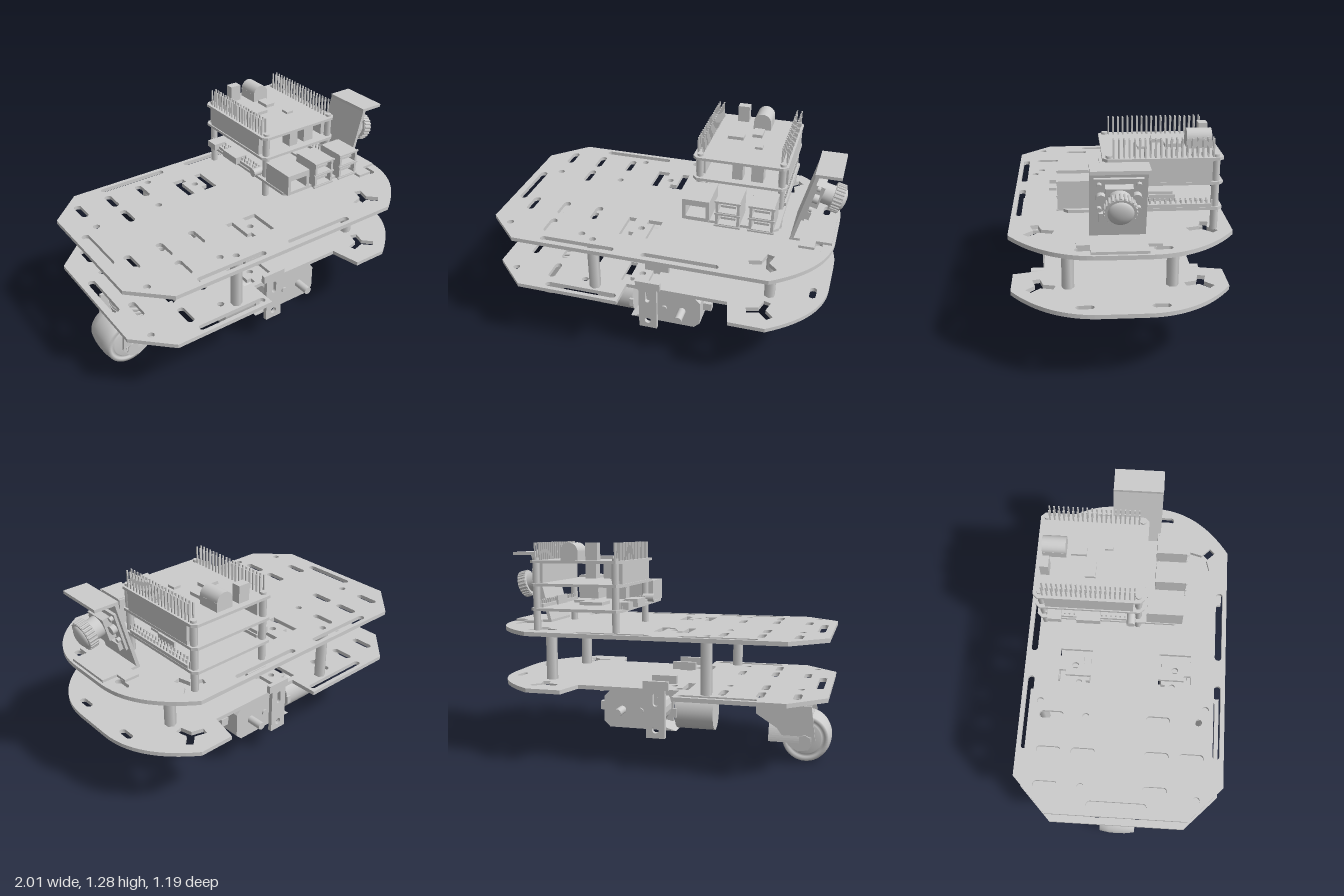
import * as THREE from 'three';

const grey = new THREE.MeshStandardMaterial({ color: 0xcccccc, side: THREE.DoubleSide });

function add(parent, name, geometry, x = 0, y = 0, z = 0) {
  const m = new THREE.Mesh(geometry, grey);
  m.name = name;
  m.position.set(x, y, z);
  parent.add(m);
  return m;
}

// box given by its low and high limits on each axis
function box(parent, name, x0, x1, y0, y1, z0, z1) {
  return add(parent, name, new THREE.BoxGeometry(x1 - x0, y1 - y0, z1 - z0),
    (x0 + x1) / 2, (y0 + y1) / 2, (z0 + z1) / 2);
}

// cylinder along the chosen axis
function rod(parent, name, axis, r, length, x, y, z, sides = 24, r2 = r) {
  const g = new THREE.CylinderGeometry(r, r2, length, sides);
  if (axis === 'x') g.rotateZ(-Math.PI / 2);
  if (axis === 'z') g.rotateX(Math.PI / 2);
  return add(parent, name, g, x, y, z);
}

function poly(points) {
  return points.map(([x, y]) => new THREE.Vector2(x, y));
}

// rounded slot outline between two limits on each axis
function slot(x0, x1, z0, z1) {
  const r = Math.min(x1 - x0, z1 - z0) / 2, pts = [];
  const corners = [[x1 - r, z1 - r], [x0 + r, z1 - r], [x0 + r, z0 + r], [x1 - r, z0 + r]];
  corners.forEach(([cx, cz], q) => {
    for (let i = 0; i < 5; i++) {
      const a = (q + (i + 0.5) / 5) * Math.PI / 2;
      pts.push([cx + r * Math.cos(a), cz + r * Math.sin(a)]);
    }
  });
  return new THREE.Path(poly(pts));
}
const dot = (x, z, r) => slot(x - r, x + r, z - r, z + r);

// three-armed cut-out
function star(cx, cz, s) {
  const pts = [], w = 0.022, l = 0.085;
  for (let k = 0; k < 3; k++) {
    const a = (0.25 + k * 2 / 3) * Math.PI, c = Math.cos(a), n = Math.sin(a), b = a + Math.PI / 3;
    pts.push([l * c + w * n, l * n - w * c], [l * c - w * n, l * n + w * c],
      [w / 0.866 * Math.cos(b), w / 0.866 * Math.sin(b)]);
  }
  return new THREE.Path(poly(pts.map(([x, z]) => [cx + x, s * (cz + z)])));
}

// chassis deck; the lower one is cut in at the sides for the wheels
function deck(parent, name, top, notched) {
  const s = new THREE.Shape();
  s.moveTo(-1, -0.4);
  s.lineTo(-0.8, -0.595);
  if (notched) [[-0.18, -0.595], [-0.18, -0.42], [0.43, -0.42], [0.47, -0.595]].forEach(p => s.lineTo(...p));
  s.lineTo(0.68, -0.595);
  s.quadraticCurveTo(0.975, -0.4, 0.975, -0.12);
  s.lineTo(0.975, 0.12);
  s.quadraticCurveTo(0.975, 0.4, 0.68, 0.595);
  if (notched) [[0.47, 0.595], [0.43, 0.42], [-0.18, 0.42], [-0.18, 0.595]].forEach(p => s.lineTo(...p));
  s.lineTo(-0.8, 0.595);
  s.lineTo(-1, 0.4);
  s.closePath();
  const h = s.holes;
  h.push(slot(-0.96, -0.915, -0.17, 0.17), dot(-0.84, -0.21, 0.02), dot(-0.43, -0.21, 0.02),
    dot(-0.88, 0.445, 0.02), dot(-0.43, 0.445, 0.02));
  for (const x of [-0.84, -0.43]) h.push(slot(x - 0.022, x + 0.022, -0.48, -0.34), slot(x - 0.022, x + 0.022, 0.14, 0.28));
  for (const k of [-1, 1]) {
    const span = (x0, x1, z, d) => h.push(slot(x0, x1, k * z - d, k * z + d));
    span(-0.64, -0.2, 0.55, 0.02);
    if (!notched) span(-0.04, 0.4, 0.55, 0.02);
    span(-0.662, -0.618, 0.41, 0.07);
    span(-0.662, -0.618, 0.21, 0.07);
    span(0.87, 0.91, 0.2, 0.05);
    h.push(dot(-0.35, k * 0.483, 0.02), dot(-0.12, k * 0.295, 0.02), star(0.63, 0.44, k));
    h.push(new THREE.Path(poly([[-0.225, 0.39], [-0.15, 0.39], [-0.15, 0.35], [-0.18, 0.35], [-0.18, 0.2],
      [-0.225, 0.2]].map(([x, z]) => [x, k * z]))));
    h.push(new THREE.Path(poly([[-0.02, 0.39], [-0.065, 0.39], [-0.065, 0.245], [-0.105, 0.245], [-0.105, 0.2],
      [-0.02, 0.2]].map(([x, z]) => [x, k * z]))));
  }
  const g = new THREE.ExtrudeGeometry(s, { depth: 0.024, bevelEnabled: false, curveSegments: 16 });
  g.rotateX(Math.PI / 2);
  add(parent, name, g, 0, top, 0);
  // thin stiffening ribs underneath
  for (const z of [-0.04, 0.04]) box(parent, 'deckRib', -0.9, 0.88, top - 0.038, top - 0.024, z - 0.008, z + 0.008);
  for (const x of [-0.5, 0.3]) box(parent, 'deckCrossRib', x - 0.01, x + 0.01, top - 0.038, top - 0.024, -0.38, 0.38);
}

// gear motor with its two hanging brackets, k = side
function motor(parent, k) {
  const g = new THREE.Group();
  g.name = k > 0 ? 'leftMotor' : 'rightMotor';
  const side = new THREE.Shape(slot(-0.09, 0.27, 0.22, 0.435).getPoints());
  side.setFromPoints(poly([[-0.16, 0.22], [0.235, 0.22], [0.27, 0.255], [0.27, 0.4], [0.235, 0.435], [-0.16, 0.435]]));
  const body = new THREE.ExtrudeGeometry(side, { depth: 0.19, bevelEnabled: false });
  add(g, 'gearbox', body, 0, 0, 0.225);
  const can = rod(g, 'motorCan', 'x', 0.105, 0.22, -0.26, 0.325, 0.32, 32);
  can.scale.z = 0.85;
  box(g, 'motorCap', -0.37, -0.3, 0.25, 0.4, 0.26, 0.38);
  box(g, 'motorTerminal', -0.165, -0.14, 0.3, 0.35, 0.41, 0.425);
  box(g, 'endLug', 0.27, 0.32, 0.3, 0.35, 0.3, 0.34);
  rod(g, 'axle', 'z', 0.023, 0.37, 0.16, 0.325, 0.325);
  rod(g, 'screw', 'z', 0.018, 0.21, 0.05, 0.325, 0.32, 12);
  const t = new THREE.Shape(poly([[-0.1, 0.175], [0.01, 0.175], [0.01, 0.455], [0.03, 0.455], [0.03, 0.505],
    [-0.12, 0.505], [-0.12, 0.455], [-0.1, 0.455]]));
  t.holes.push(slot(-0.06, -0.03, 0.36, 0.44), dot(-0.045, 0.225, 0.02));
  for (const z of [0.225, 0.415])
    add(g, 'motorBracket', new THREE.ExtrudeGeometry(t, { depth: 0.025, bevelEnabled: false }), 0, 0, z);
  if (k < 0) g.scale.z = -1;
  parent.add(g);
}

function caster(parent) {
  const g = new THREE.Group();
  g.name = 'caster';
  // swivel bearing and tapered head
  rod(g, 'swivelPlate', 'y', 0.155, 0.03, -0.735, 0.42, 0, 40);
  rod(g, 'swivelNeck', 'y', 0.14, 0.06, -0.735, 0.38, 0, 40);
  for (const y of [0.385, 0.36]) add(g, 'bearingRing', new THREE.TorusGeometry(0.145, 0.014, 8, 40).rotateX(Math.PI / 2), -0.735, y, 0);
  rod(g, 'forkHead', 'y', 0.16, 0.075, -0.735, 0.313, 0, 40, 0.145);
  // arched fork with two cheeks
  const arch = new THREE.Shape();
  arch.absarc(0, 0, 0.165, 0, Math.PI);
  arch.absarc(0, 0, 0.15, Math.PI, 0, true);
  add(g, 'forkArch', new THREE.ExtrudeGeometry(arch, { depth: 0.25, bevelEnabled: false, curveSegments: 20 }).rotateY(Math.PI / 2), -0.9, 0.13, 0);
  const cheek = new THREE.Shape(poly([[-0.895, 0.35], [-0.575, 0.35], [-0.575, 0.29], [-0.7, 0.21], [-0.77, 0.11],
    [-0.82, 0.08], [-0.88, 0.09], [-0.92, 0.15]]));
  for (const z of [-0.16, 0.143]) add(g, 'forkCheek', new THREE.ExtrudeGeometry(cheek, { depth: 0.017, bevelEnabled: false }), 0, 0, z);
  // crowned wheel
  const profile = poly([[0.03, -0.11], [0.09, -0.11], [0.095, -0.1], [0.11, -0.1], [0.115, -0.11], [0.135, -0.108], [0.144, -0.05],
    [0.146, 0], [0.144, 0.05], [0.135, 0.108], [0.115, 0.11], [0.11, 0.1], [0.095, 0.1], [0.09, 0.11], [0.03, 0.11]]);
  add(g, 'casterWheel', new THREE.LatheGeometry(profile, 48).rotateX(Math.PI / 2), -0.86, 0.146, 0);
  rod(g, 'casterAxle', 'z', 0.036, 0.34, -0.86, 0.146, 0, 6);
  parent.add(g);
}

function cameraMount(parent) {
  box(parent, 'mountFoot', 0.72, 0.96, 0.78, 0.797, -0.125, 0.17);
  box(parent, 'mountEars', 0.78, 0.87, 0.78, 0.797, -0.2, 0.24);
  const g = new THREE.Group();
  g.name = 'cameraMount';
  g.position.set(0.72, 0.785, 0.022);
  g.rotation.z = -0.256;
  box(g, 'mountPlate', 0, 0.02, 0, 0.435, -0.147, 0.147);
  box(g, 'cameraBoard', 0.02, 0.035, 0.13, 0.37, -0.125, 0.125);
  box(g, 'cameraConnector', 0.035, 0.06, 0.13, 0.18, -0.1, 0.1);
  for (const z of [-0.1, 0.1]) for (const y of [0.2, 0.34]) rod(g, 'screw', 'x', 0.014, 0.03, 0.04, y, z, 12);
  box(g, 'lensBase', 0.035, 0.08, 0.2, 0.34, -0.07, 0.07);
  for (const z of [-0.09, 0.09]) rod(g, 'lensEar', 'x', 0.026, 0.03, 0.05, 0.27, z, 16);
  rod(g, 'lensBarrel', 'x', 0.06, 0.08, 0.11, 0.275, 0, 32);
  rod(g, 'focusRing', 'x', 0.078, 0.055, 0.165, 0.275, 0, 24);
  for (let i = 0; i < 24; i++) {
    const a = i * Math.PI / 12;
    rod(g, 'focusGrip', 'x', 0.007, 0.05, 0.165, 0.275 + 0.078 * Math.sin(a), 0.078 * Math.cos(a), 5);
  }
  add(g, 'lensGlass', new THREE.SphereGeometry(0.066, 24, 16).scale(0.4, 1, 1), 0.19, 0.275, 0);
  parent.add(g);
  box(parent, 'mountHood', 0.826, 0.97, 1.196, 1.214, -0.125, 0.17);
}

function electronics(parent) {
  const g = new THREE.Group();
  g.name = 'electronics';
  // stacked boards with rounded corners
  [['mainBoard', 0.895, 0.3], ['middleBoard', 1.035, 0.095], ['topBoard', 1.165, 0.095]].forEach(([name, y, z1]) => {
    const s = new THREE.Shape(poly([[0.15, -0.535], [0.645, -0.535], [0.67, -0.51], [0.67, z1 - 0.025],
      [0.645, z1], [0.15, z1], [0.125, z1 - 0.025], [0.125, -0.51]]));
    add(g, name, new THREE.ExtrudeGeometry(s, { depth: 0.016, bevelEnabled: false }).rotateX(Math.PI / 2), 0, y + 0.016, 0);
  });
  for (const x of [0.165, 0.64]) for (const z of [-0.497, 0.06]) {
    rod(g, 'boardPost', 'y', 0.021, 0.39, x, 0.975, z, 6);
    rod(g, 'boardScrew', 'y', 0.018, 0.015, x, 1.187, z, 12);
  }
  // pin headers
  for (const x of [0.16, 0.64]) {
    box(g, 'header', x - 0.028, x + 0.028, 1.05, 1.165, -0.475, 0.03);
    for (let i = 0; i < 20; i++) for (const dx of [-0.014, 0.014]) {
      const z = -0.48 + i * 0.0272;
      box(g, 'pin', x + dx - 0.004, x + dx + 0.004, 1.165, 1.28, z - 0.004, z + 0.004);
      box(g, 'lowerPin', x + dx - 0.004, x + dx + 0.004, 0.91, 0.95, z - 0.004, z + 0.004);
    }
    box(g, 'lowerHeader', x - 0.028, x + 0.028, 0.91, 0.93, -0.475, 0.03);
  }
  // stacked data sockets, open at the front
  for (const x of [0.39, 0.578]) {
    const s = new THREE.Shape(poly([[-0.067, 0.9], [0.067, 0.9], [0.067, 1.06], [-0.067, 1.06]]));
    for (const y of [0.915, 0.99]) s.holes.push(new THREE.Path(poly([[-0.052, y], [0.052, y], [0.052, y + 0.055], [-0.052, y + 0.055]])));
    add(g, 'dataSocket', new THREE.ExtrudeGeometry(s, { depth: 0.17, bevelEnabled: false }), x, 0, 0.16);
    box(g, 'socketBack', x - 0.066, x + 0.066, 0.905, 1.055, 0.15, 0.17);
    for (const y of [0.945, 1.02]) box(g, 'socketTongue', x - 0.042, x + 0.042, y - 0.007, y + 0.007, 0.17, 0.31);
    for (const y of [0.905, 0.98, 1.055]) box(g, 'socketFlange', x - 0.073, x + 0.073, y - 0.005, y + 0.005, 0.325, 0.335);
  }
  const port = new THREE.Shape(poly([[0.13, 0.91], [0.285, 0.91], [0.285, 1.035], [0.13, 1.035]]));
  port.holes.push(new THREE.Path(poly([[0.15, 0.93], [0.265, 0.93], [0.265, 1.0], [0.15, 1.0]])));
  add(g, 'networkSocket', new THREE.ExtrudeGeometry(port, { depth: 0.21, bevelEnabled: false }), 0, 0, 0.11);
  box(g, 'networkSocketBack', 0.14, 0.275, 0.92, 1.02, 0.11, 0.17);
  // side connectors, chips and tall parts
  box(g, 'powerSocket', 0.1, 0.18, 0.91, 0.95, -0.47, -0.39);
  box(g, 'videoSocket', 0.1, 0.18, 0.91, 0.955, -0.3, -0.16);
  rod(g, 'audioSocket', 'x', 0.025, 0.07, 0.13, 0.936, 0.02, 16);
  box(g, 'processor', 0.32, 0.46, 0.911, 0.93, -0.3, -0.16);
  box(g, 'memory', 0.47, 0.56, 0.911, 0.925, -0.14, -0.02);
  box(g, 'ribbonSocket', 0.6, 0.61, 0.911, 0.965, -0.29, -0.15);
  box(g, 'tallPart', 0.35, 0.41, 1.05, 1.15, -0.02, 0.05);
  box(g, 'tallPart', 0.46, 0.53, 1.05, 1.15, -0.02, 0.05);
  box(g, 'chip', 0.265, 0.36, 1.18, 1.2, -0.25, -0.19);
  box(g, 'chip', 0.4, 0.46, 1.18, 1.2, -0.34, -0.25);
  box(g, 'chip', 0.445, 0.49, 1.18, 1.195, -0.15, -0.1);
  box(g, 'terminalBlock', 0.27, 0.34, 1.18, 1.28, -0.5, -0.45);
  box(g, 'powerJack', 0.385, 0.49, 1.18, 1.23, -0.5, -0.365);
  rod(g, 'powerJackBarrel', 'z', 0.052, 0.135, 0.4375, 1.228, -0.4325, 24);
  parent.add(g);
}

export function createModel() {
  const root = new THREE.Group();
  root.name = 'roverChassis';
  deck(root, 'upperDeck', 0.782, false);
  deck(root, 'lowerDeck', 0.457, true);
  for (const k of [-1, 1]) {
    motor(root, k);
    rod(root, 'rearDeckPost', 'y', 0.034, 0.3, -0.35, 0.607, k * 0.485, 6);
    rod(root, 'frontDeckPost', 'y', 0.034, 0.3, 0.65, 0.607, k * 0.285, 6);
  }
  caster(root);
  cameraMount(root);
  electronics(root);
  return root;
}
